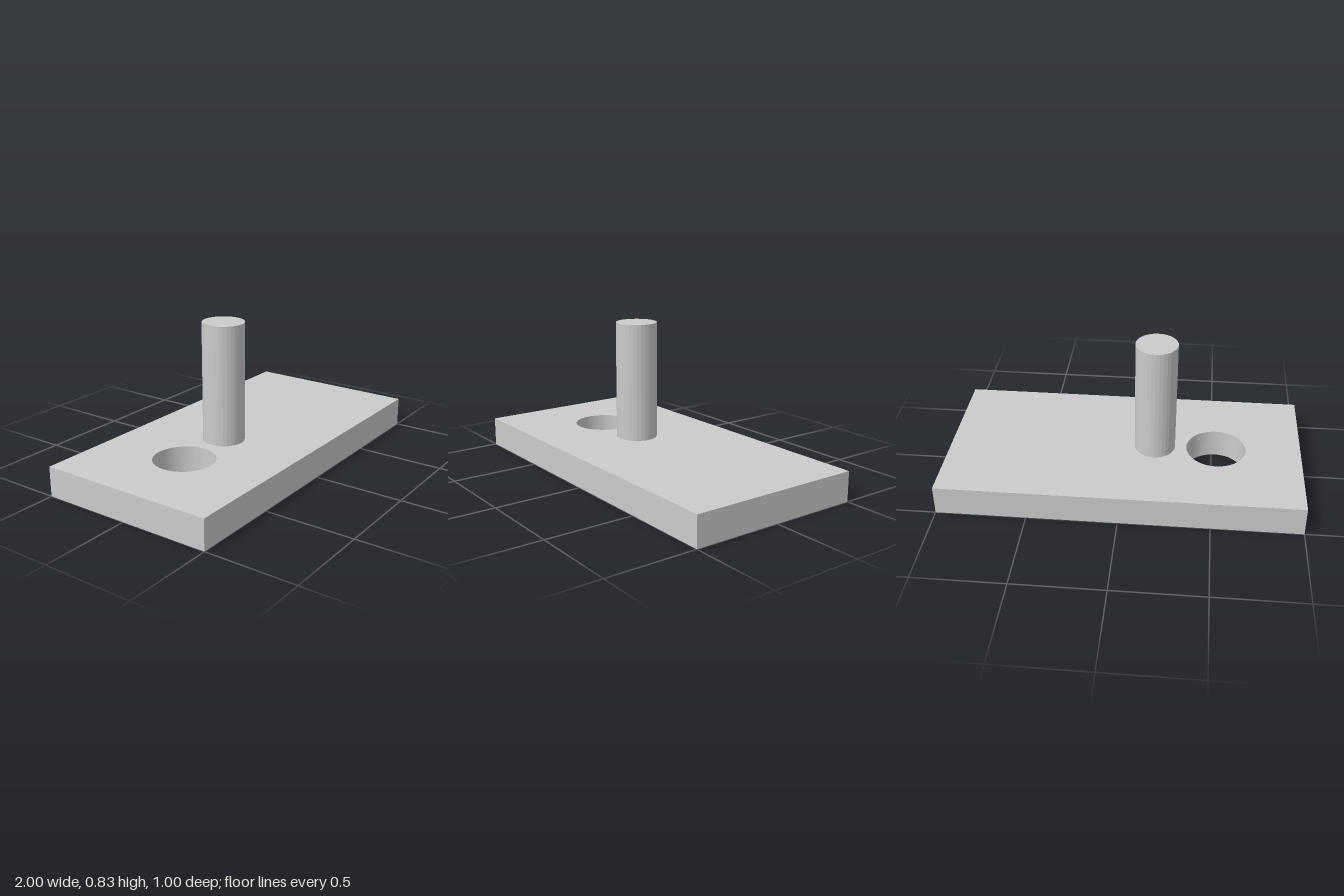
import * as THREE from 'three';

const SIDES = 32;
const PLATE = { length: 2, width: 1, height: 0.167 };
const HOLE = { x: -0.52, radius: 0.168 };
const PEG = { x: -0.17, radius: 0.116, top: 0.834 };

export function createModel() {
  const model = new THREE.Group();
  const material = new THREE.MeshStandardMaterial({ color: 0xcccccc, flatShading: true });

  // Base plate with a round through-hole
  const l = PLATE.length / 2;
  const w = PLATE.width / 2;
  const outline = new THREE.Shape([
    new THREE.Vector2(-l, -w),
    new THREE.Vector2(l, -w),
    new THREE.Vector2(l, w),
    new THREE.Vector2(-l, w),
  ]);
  outline.holes.push(new THREE.Path().absarc(HOLE.x, 0, HOLE.radius, 0, Math.PI * 2, true));
  const plateGeometry = new THREE.ExtrudeGeometry(outline, {
    depth: PLATE.height,
    bevelEnabled: false,
    curveSegments: SIDES,
  });
  plateGeometry.rotateX(-Math.PI / 2);
  const plate = new THREE.Mesh(plateGeometry, material);
  plate.name = 'basePlate';
  model.add(plate);

  // Upright peg beside the hole
  const pegHeight = PEG.top - PLATE.height;
  const peg = new THREE.Mesh(
    new THREE.CylinderGeometry(PEG.radius, PEG.radius, pegHeight, SIDES),
    material
  );
  peg.name = 'peg';
  peg.position.set(PEG.x, PLATE.height + pegHeight / 2, 0);
  model.add(peg);

  return model;
}
